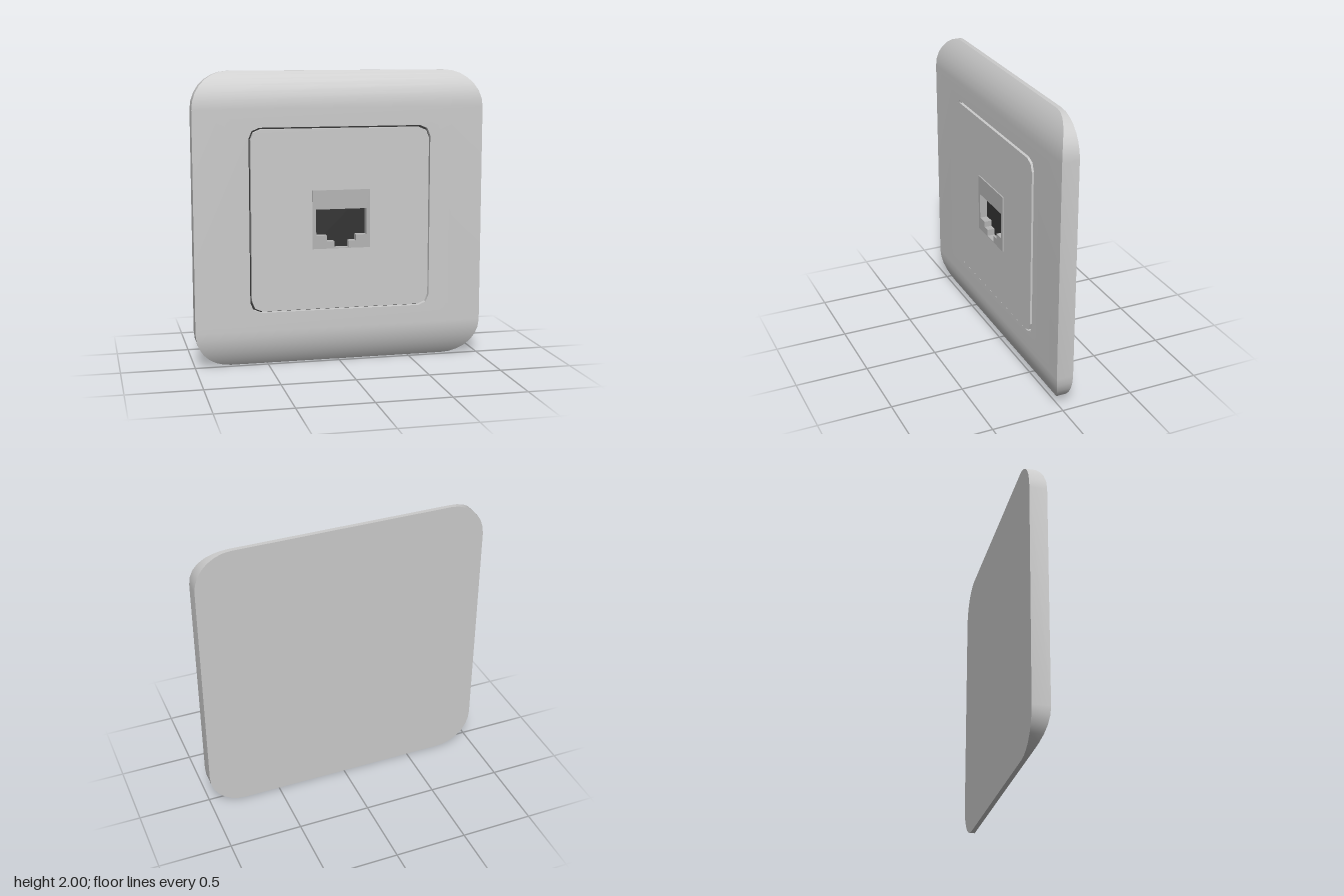
import * as THREE from 'three';
import { mergeGeometries, toCreasedNormals } from 'three/addons/utils/BufferGeometryUtils.js';

const BACK = -0.067, FRONT = 0.05, FLOOR = 0.014;
const R = 0.25, DROP = 0.087, STEPS = 7;
const ARC = (R * R + DROP * DROP) / (2 * DROP); // radius of the curved top and bottom

const toPoints = list => list.map(([x, y]) => new THREE.Vector2(x, y));

// Corner-rounded square outline, counter-clockwise, centred on y = 1
function roundedSquare(half, r, steps) {
  const pts = [], c = half - r;
  [[1, 1], [-1, 1], [-1, -1], [1, -1]].forEach(([sx, sy], q) => {
    for (let i = 0; i <= steps; i++) {
      const a = (q + i / steps) * Math.PI / 2;
      pts.push(new THREE.Vector2(sx * c + r * Math.cos(a), 1 + sy * c + r * Math.sin(a)));
    }
  });
  return pts;
}

// Front depth of the frame: flat in the middle, falling in an arc to top and bottom
function frontZ(y) {
  const t = Math.max(0, Math.abs(y - 1) - (1 - R));
  return FRONT - ARC + Math.sqrt(ARC * ARC - t * t);
}

function quads(list) {
  const pos = [], uv = [];
  for (const [a, b, c, d] of list) {
    pos.push(...a, ...b, ...c, ...a, ...c, ...d);
    uv.push(...new Array(12).fill(0));
  }
  const g = new THREE.BufferGeometry();
  g.setAttribute('position', new THREE.Float32BufferAttribute(pos, 3));
  g.setAttribute('uv', new THREE.Float32BufferAttribute(uv, 2));
  g.computeVertexNormals();
  return g;
}

function frameGeometry() {
  const outer = roundedSquare(1, R, STEPS), hole = roundedSquare(0.627, 0.073, 2);
  const list = [];
  // Outer rim
  outer.forEach((p, i) => {
    const n = outer[(i + 1) % outer.length];
    list.push([[p.x, p.y, BACK], [n.x, n.y, BACK], [n.x, n.y, frontZ(n.y)], [p.x, p.y, frontZ(p.y)]]);
  });
  // Walls of the central opening
  hole.forEach((p, i) => {
    const n = hole[(i + 1) % hole.length];
    list.push([[n.x, n.y, FLOOR], [p.x, p.y, FLOOR], [p.x, p.y, FRONT], [n.x, n.y, FRONT]]);
  });
  // Curved bands at top and bottom
  for (let i = 0; i < STEPS; i++) {
    const p = outer[i], n = outer[i + 1], zp = frontZ(p.y), zn = frontZ(n.y);
    list.push([[-p.x, p.y, zp], [p.x, p.y, zp], [n.x, n.y, zn], [-n.x, n.y, zn]]);
    list.push([[-n.x, 2 - n.y, zn], [n.x, 2 - n.y, zn], [p.x, 2 - p.y, zp], [-p.x, 2 - p.y, zp]]);
  }
  // Flat middle with the opening, and flat back
  const middle = new THREE.Shape(toPoints([[-1, R], [1, R], [1, 2 - R], [-1, 2 - R]]));
  middle.holes.push(new THREE.Path(hole));
  const face = new THREE.ShapeGeometry(middle).toNonIndexed().translate(0, 0, FRONT);
  const back = new THREE.ShapeGeometry(new THREE.Shape(outer)).toNonIndexed()
    .rotateY(Math.PI).translate(0, 0, BACK);
  return toCreasedNormals(mergeGeometries([quads(list), face, back]), 0.6);
}

// Flat part with one opening, standing on the recessed floor
function slab(outline, opening, front) {
  const shape = new THREE.Shape(outline);
  shape.holes.push(new THREE.Path(opening));
  return new THREE.ExtrudeGeometry(shape, { depth: front - FLOOR, bevelEnabled: false }).translate(0, 0, FLOOR);
}

export function createModel() {
  const group = new THREE.Group();
  const grey = new THREE.MeshStandardMaterial({ color: 0xcccccc });
  const midGrey = new THREE.MeshStandardMaterial({ color: 0xb5b5b5 });
  const dark = new THREE.MeshStandardMaterial({ color: 0x333333 });
  const add = (name, geometry, material) => {
    const mesh = new THREE.Mesh(geometry, material);
    mesh.name = name;
    group.add(mesh);
  };

  add('frame', frameGeometry(), grey);

  // Dark floor seen in the gap and the socket opening
  add('recessFloor', new THREE.BoxGeometry(1.27, 1.27, 0.04).translate(0, 1, FLOOR - 0.02), dark);

  const square = toPoints([[-0.2, 0.8], [0.2, 0.8], [0.2, 1.2], [-0.2, 1.2]]);
  add('coverPlate', slab(roundedSquare(0.615, 0.07, 2), square, 0.058), grey);

  // Socket with a stepped opening, mirrored left to right
  const half = [[0.05, 0.805], [0.05, 0.85], [0.1, 0.85], [0.1, 0.89], [0.175, 0.89], [0.175, 1.07]];
  const opening = toPoints([...half, ...half.map(([x, y]) => [-x, y]).reverse()]);
  add('socket', slab(square, opening, 0.067), midGrey);

  return group;
}
